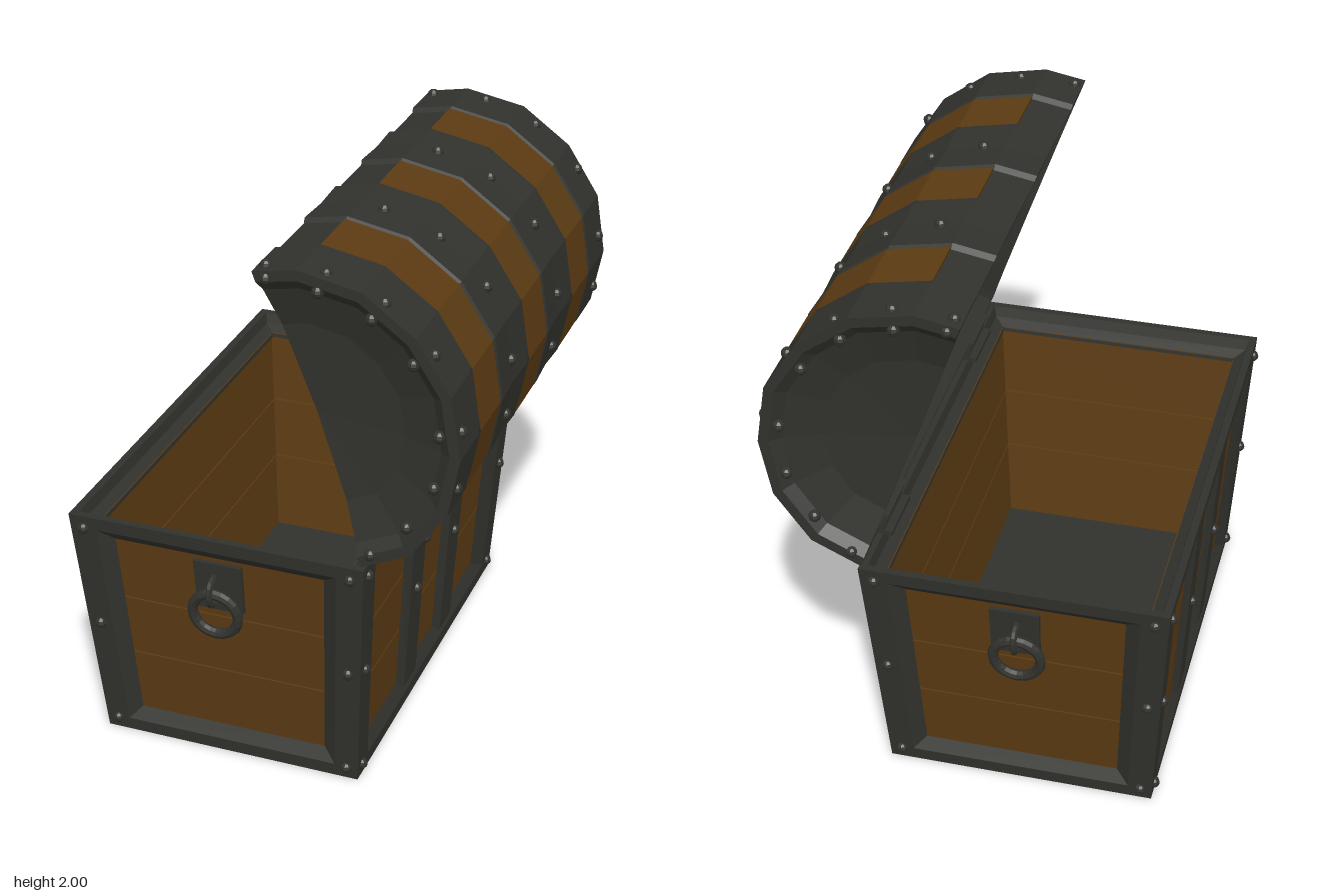
import * as THREE from 'three';

const CX = -0.163;
const mat = (color) => new THREE.MeshStandardMaterial({ color, flatShading: true, side: THREE.DoubleSide, roughness: 0.8 });
const iron = mat(0x31322d), wood = mat(0x5c3b13), dark = mat(0x1c150b);

// Half sizes of the tapered box at height y
const halfX = (y) => 0.485 + 0.058 * y / 0.94;
const halfZ = (y) => 0.775 + 0.105 * y / 0.94;

// Skin through a list of equal-length point loops
function loft(sections, closed = true) {
  const pos = [];
  const n = sections[0].length, m = closed ? n : n - 1;
  for (let i = 0; i < sections.length - 1; i++) {
    for (let j = 0; j < m; j++) {
      const a = sections[i][j], b = sections[i][(j + 1) % n];
      const c = sections[i + 1][(j + 1) % n], d = sections[i + 1][j];
      pos.push(...a, ...b, ...c, ...a, ...c, ...d);
    }
  }
  const g = new THREE.BufferGeometry();
  g.setAttribute('position', new THREE.Float32BufferAttribute(pos, 3));
  g.computeVertexNormals();
  return g;
}

// Point on a wall: u across (-1..1), y up, d depth below the outer plane
function onWall(wall, u, y, d) {
  return wall.end
    ? [CX + u * halfX(y), y, wall.s * (halfZ(y) - d)]
    : [CX + wall.s * (halfX(y) - d), y, u * halfZ(y) * -wall.s];
}
// Counter-clockwise rectangle on a wall
function wallRect(wall, u0, u1, y0, y1, d) {
  const r = [[u0, y0], [u1, y0], [u1, y1], [u0, y1]].map(([u, y]) => onWall(wall, u, y, d));
  return wall.end && wall.s < 0 ? r.reverse() : r;
}
// Solid board on a wall between two depths; inset bevels the outer face
function slab(wall, u0, u1, y0, y1, dOut, dIn, inset = 0) {
  const back = wallRect(wall, u0, u1, y0, y1, dIn);
  const front = wallRect(wall, u0 + inset, u1 - inset, y0, y1, dOut);
  const mid = (r) => Array(4).fill([0, 1, 2].map((k) => (r[0][k] + r[2][k]) / 2));
  return loft([mid(back), back, front, mid(front)]);
}

// Lid outline from the free edge round to the hinge
const ARC = [[0, 1.97], [0.15, 1.997], [0.37, 1.955], [0.55, 1.825], [0.67, 1.64],
  [0.705, 1.42], [0.665, 1.21], [0.54, 1.035], [0.368, 0.955]];
const MID = [0.184, 1.4625];
const arcAt = (s, z, pts = ARC) => pts.map(([x, y]) => [MID[0] + (x - MID[0]) * s, MID[1] + (y - MID[1]) * s, z]);

export function createModel() {
  const root = new THREE.Group();
  const base = new THREE.Group(), lid = new THREE.Group();
  base.name = 'base';
  lid.name = 'lid';
  root.add(base, lid);
  const add = (parent, name, geo, material, p) => {
    const m = new THREE.Mesh(geo, material);
    m.name = name;
    if (p) m.position.set(...p);
    parent.add(m);
    return m;
  };
  const rivetGeo = new THREE.SphereGeometry(0.022, 8, 6);
  const rivet = (parent, p) => add(parent, 'rivet', rivetGeo, iron, p);

  // Four walls: bevelled iron frame, planks inside and out, rivets
  const walls = [1, -1].flatMap((s) => [{ end: true, s }, { end: false, s }]);
  for (const w of walls) {
    const [uFlat, uWood] = w.end ? [0.82, 0.72] : [0.87, 0.76];
    add(base, 'wallFrame', loft([
      wallRect(w, -1, 1, 0, 0.94, 0),
      wallRect(w, -uFlat, uFlat, 0.05, 0.89, 0),
      wallRect(w, -uWood, uWood, 0.1, 0.85, 0.03),
    ]), iron);
    add(base, 'wallCore', slab(w, -0.9, 0.9, 0.03, 0.88, 0.045, 0.06), dark);
    const seams = [0.04, 0.355, 0.6, 0.885];
    for (let i = 0; i < 3; i++) {
      const y0 = seams[i] + 0.003, y1 = seams[i + 1] - 0.003;
      add(base, 'outerPlank', slab(w, -uWood - 0.01, uWood + 0.01, Math.max(y0, 0.09), Math.min(y1, 0.86), 0.03, 0.05), wood);
      add(base, 'innerPlank', slab(w, -0.9, 0.9, y0, y1, 0.06, 0.075), wood);
    }
    const uRivet = w.end ? 0.91 : 0.94;
    for (const s of [-1, 1]) {
      for (const y of [0.045, 0.48, 0.89]) rivet(base, onWall(w, s * uRivet, y, 0.002));
      if (!w.end) {
        // Upright iron straps dividing the long walls
        const [a, b] = s > 0 ? [0.135, 0.39] : [-0.39, -0.135];
        add(base, 'strap', slab(w, a, b, 0.07, 0.88, 0.006, 0.035, 0.045), iron);
        rivet(base, onWall(w, s * 0.265, 0.48, 0.006));
      }
    }
  }

  // Rim around the opening, and the floor
  const rimLoop = (d, y, at = y) => [[1, 1], [1, -1], [-1, -1], [-1, 1]]
    .map(([a, b]) => [CX + a * (halfX(at) - d), y, b * (halfZ(at) - d)]);
  add(base, 'rim', loft([rimLoop(0, 0.94), rimLoop(0.028, 0.94), rimLoop(0.035, 0.9), rimLoop(0.076, 0.88), rimLoop(0.076, 0.865)]), iron);
  add(base, 'floor', new THREE.BoxGeometry(0.96, 0.05, 1.54), iron, [CX, 0.026, 0]);

  // Ring handles on both ends
  for (const s of [1, -1]) {
    const handle = new THREE.Group();
    handle.name = 'handle';
    base.add(handle);
    add(handle, 'handlePlate', slab({ end: true, s }, -0.165, 0.165, 0.64, 0.835, 0.012, 0.035), iron);
    const ring = add(handle, 'handleRing', new THREE.TorusGeometry(0.085, 0.019, 8, 20), iron, [-0.173, 0.635, s * 0.857]);
    ring.rotation.x = s * 0.11;
    const path = new THREE.CatmullRomCurve3([[0.785, 0.855], [0.775, 0.89], [0.73, 0.905], [0.69, 0.89], [0.68, 0.84]]
      .map(([y, z]) => new THREE.Vector3(-0.173, y, s * z)));
    add(handle, 'handleStaple', new THREE.TubeGeometry(path, 10, 0.012, 6), iron);
  }

  // Lid shell: z, outer scale; shallow channels hold the wood strips, the ends are dished
  const half = [[0.79, 0], [0.81, 0.6], [0.85, 0.86], [0.88, 0.93], [0.88, 1], [0.68, 1], [0.66, 0.975],
    [0.44, 0.975], [0.42, 1], [0.275, 0.988], [0.13, 1], [0.11, 0.975]];
  const stations = [...half, ...half.map(([z, s]) => [-z, s]).reverse()];
  add(lid, 'lidShell', loft(stations.map(([z, s]) => {
    const inner = arcAt(Math.min(s, 0.93), Math.sign(z) * Math.min(Math.abs(z) - 0.02, 0.81));
    return [...arcAt(s, z), ...inner.reverse()];
  })), iron);

  // Wood strips over the lid
  for (const z of [-0.55, 0, 0.55]) {
    const pts = ARC.slice(1, 8);
    const ring = (zz) => [...arcAt(0.997, zz, pts), ...arcAt(0.96, zz, pts).reverse()];
    add(lid, 'lidStrip', loft([ring(z - 0.11), ring(z + 0.11)]), wood);
  }

  // Lid rivets: over the curve and around each end
  const over = [[0.03, 1.975], [0.235, 1.978], [0.43, 1.908], [0.597, 1.755], [0.69, 1.5], [0.678, 1.29], [0.575, 1.09]];
  const round = [[0.045, 1.95], [0.22, 1.93], [0.4, 1.865], [0.54, 1.73], [0.63, 1.49], [0.615, 1.3], [0.525, 1.135], [0.4, 1.005]];
  for (const s of [-1, 1]) {
    over.forEach(([x, y], i) => {
      rivet(lid, [x, y, s * 0.83]);
      if (i > 0) rivet(lid, [x - 0.004, y - 0.002, s * 0.28]);
    });
    round.forEach(([x, y]) => rivet(lid, [x, y, s * 0.872]));
  }

  // Hinges
  for (const z of [-0.56, 0.56]) {
    const hinge = new THREE.Group();
    hinge.name = 'hinge';
    root.add(hinge);
    const pin = add(hinge, 'hingePin', new THREE.CylinderGeometry(0.024, 0.024, 0.22, 8), iron, [0.37, 0.953, z]);
    pin.rotation.x = Math.PI / 2;
    add(hinge, 'hingeLeaf', new THREE.BoxGeometry(0.05, 0.016, 0.22), iron, [0.345, 0.942, z]);
    const leaf = add(hinge, 'hingeLeaf', new THREE.BoxGeometry(0.016, 0.07, 0.22), iron, [0.35, 0.985, z]);
    leaf.rotation.z = 0.345;
  }
  return root;
}
